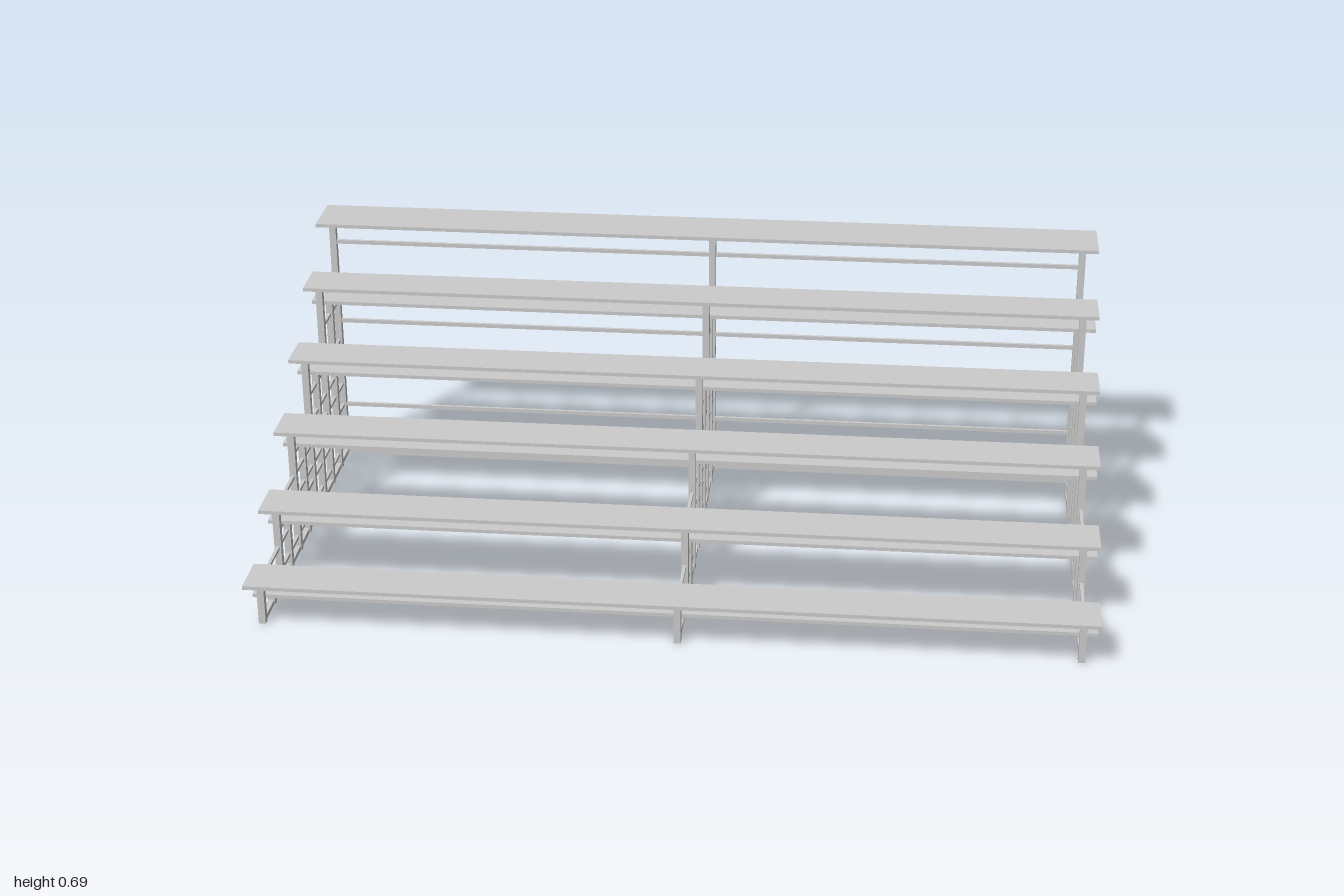
import * as THREE from 'three';

const BOARD = 0.009, POST = 0.017, RAIL = 0.008;
const FRAMES = [-0.972, 0.021, 0.964];
const BACK = -0.459;

// Boards: [front z, back z, top y, z of the supporting post]
const SEATS = [
  [0.531, 0.418, 0.126, 0.474],
  [0.347, 0.233, 0.232, 0.289],
  [0.159, 0.045, 0.350, 0.102],
  [-0.026, -0.139, 0.462, -0.082],
  [-0.216, -0.330, 0.578, -0.273],
  [-0.389, -0.531, 0.686, BACK],
];
const FOOTBOARDS = [
  [0.449, 0.310, 0.061, 0.380],
  [0.267, 0.125, 0.165, 0.196],
  [0.080, -0.062, 0.284, 0.004],
  [-0.108, -0.247, 0.396, -0.179],
  [-0.298, -0.440, 0.510, -0.372],
];
// Side rails running back to the rear post: [y, front z]
const SIDE_RAILS = [
  [0.040, 0.380], [0.106, 0.474], [0.147, 0.289], [0.207, 0.289],
  [0.262, 0.102], [0.335, -0.082], [0.446, -0.273],
];
const BACK_RAILS = [0.147, 0.268, 0.390, 0.502, 0.613];

export function createModel() {
  const model = new THREE.Group();
  model.name = 'bleachers';
  const material = new THREE.MeshStandardMaterial({ color: 0xcccccc });

  const box = (parent, name, w, h, d, x, y, z) => {
    const mesh = new THREE.Mesh(new THREE.BoxGeometry(w, h, d), material);
    mesh.name = name;
    mesh.position.set(x, y, z);
    parent.add(mesh);
  };

  // Long seat planks and footboards
  const addBoards = (list, name) => list.forEach(([front, back, top]) =>
    box(model, name, 2, BOARD, front - back, 0, top - BOARD / 2, (front + back) / 2));
  addBoards(SEATS, 'seat');
  addBoards(FOOTBOARDS, 'footboard');

  // Three upright frames: a post under every board, tied by side rails
  for (const x of FRAMES) {
    const frame = new THREE.Group();
    frame.name = 'supportFrame';
    frame.position.x = x;
    model.add(frame);
    for (const [, , top, z] of [...SEATS, ...FOOTBOARDS]) {
      const h = top - BOARD;
      box(frame, 'post', POST, h, POST, 0, h / 2, z);
    }
    for (const [y, front] of SIDE_RAILS)
      box(frame, 'sideRail', RAIL, RAIL, front - BACK, 0, y, (front + BACK) / 2);
    box(frame, 'baseRail', 0.013, 0.012, 0.474 - BACK, 0, 0.008, (0.474 + BACK) / 2);
  }

  // Rails across the back, joining the three frames
  const span = FRAMES[2] - FRAMES[0], mid = (FRAMES[2] + FRAMES[0]) / 2;
  for (const y of BACK_RAILS) box(model, 'backRail', span, 0.01, RAIL, mid, y, BACK);
  box(model, 'backBaseRail', span, 0.012, 0.012, mid, 0.008, BACK);

  return model;
}
